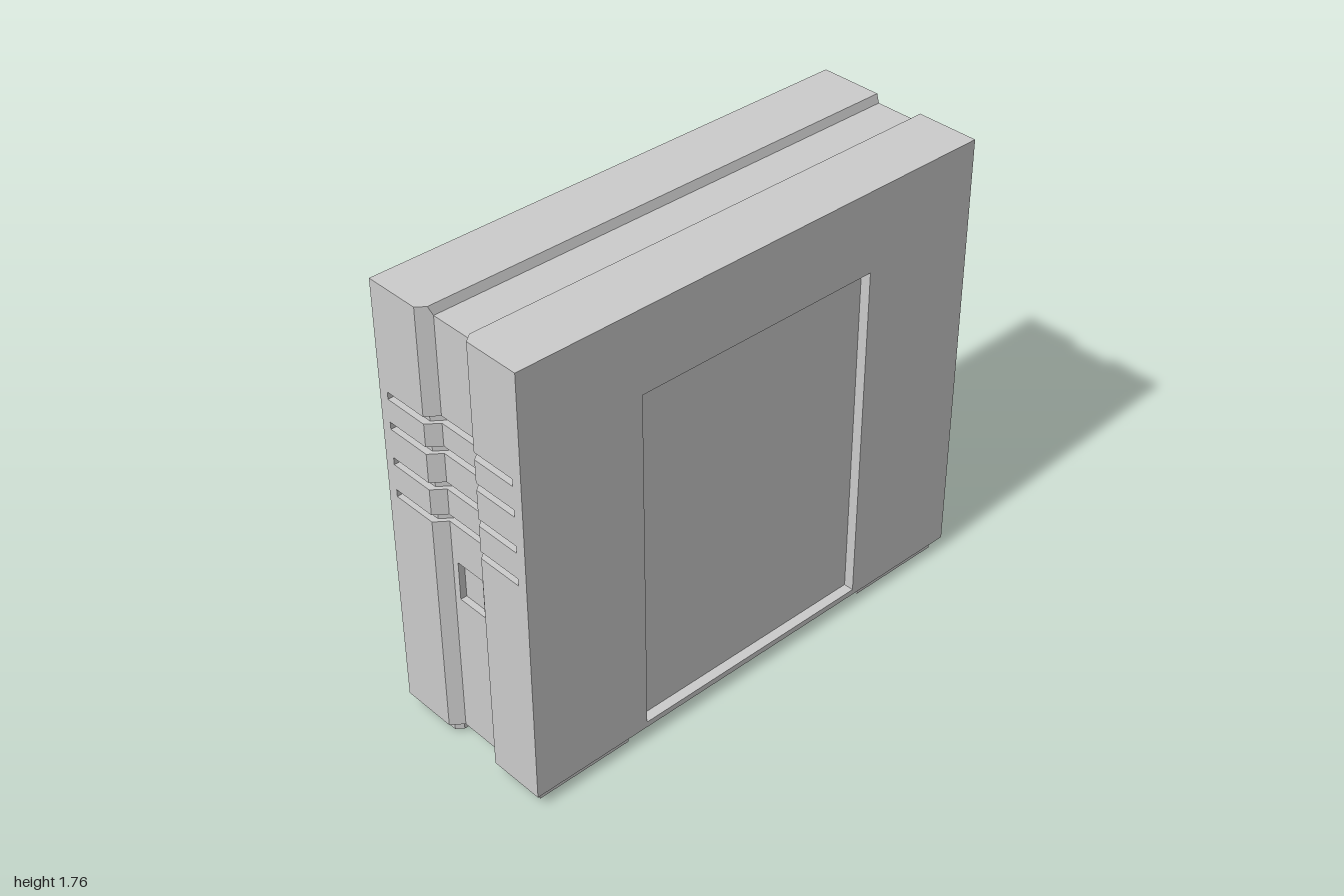
import * as THREE from 'three';

const X = 0.347, BASE = 0.05, TOP = 1.763, GROOVE = 1.73; // half width and key heights
const material = new THREE.MeshStandardMaterial({ color: 0xcccccc, flatShading: true, side: THREE.DoubleSide });

// Mesh from convex polygons, each listed counter-clockwise from outside
function polyMesh(name, polys) {
  const pos = [];
  for (const p of polys)
    for (let i = 1; i < p.length - 1; i++) pos.push(...p[0], ...p[i], ...p[i + 1]);
  const g = new THREE.BufferGeometry();
  g.setAttribute('position', new THREE.Float32BufferAttribute(pos, 3));
  g.computeVertexNormals();
  const mesh = new THREE.Mesh(g, material);
  mesh.name = name;
  return mesh;
}

const rect = (u0, u1, v0, v1) => [[u0, v0], [u1, v0], [u1, v1], [u0, v1]];

// Flat panel with a rectangular recess; place(u, v, depth) maps it into space
function recessedPanel(outer, inner, depth, place) {
  const polys = [inner.map(([u, v]) => place(u, v, depth))];
  for (let i = 0; i < 4; i++) {
    const j = (i + 1) % 4;
    const a = place(...inner[i], 0), b = place(...inner[j], 0);
    polys.push([place(...outer[i], 0), place(...outer[j], 0), b, a]);
    polys.push([a, b, place(...inner[j], depth), place(...inner[i], depth)]);
  }
  return polys;
}

// Front outline: flat sides with a chamfered channel down the middle
const breaks = [-0.125, -0.09, 0.09, 0.125];
const frontZ = x => 0.955 + 0.045 * THREE.MathUtils.clamp((Math.abs(x) - 0.09) / 0.035, 0, 1);
const pathX = (a, b) => [a, ...breaks.filter(x => x > a && x < b), b];

function strip(a, b, y0, y1, inset = 0) {
  const xs = pathX(a, b);
  return xs.slice(1).map((x1, i) => {
    const x0 = xs[i], z0 = frontZ(x0) - inset, z1 = frontZ(x1) - inset;
    return [[x0, y0, z0], [x1, y0, z1], [x1, y1, z1], [x0, y1, z0]];
  });
}

// Cut that follows the front outline: back wall, ledges and end walls
function frontCut(w, y0, y1, d) {
  const polys = [...strip(-X, -w, y0, y1), ...strip(w, X, y0, y1), ...strip(-w, w, y0, y1, d)];
  const xs = pathX(-w, w);
  for (let i = 1; i < xs.length; i++) {
    const a = xs[i - 1], b = xs[i], za = frontZ(a), zb = frontZ(b);
    polys.push([[a, y0, za], [b, y0, zb], [b, y0, zb - d], [a, y0, za - d]]);
    polys.push([[a, y1, za - d], [b, y1, zb - d], [b, y1, zb], [a, y1, za]]);
  }
  const z = frontZ(w);
  polys.push([[-w, y0, z], [-w, y0, z - d], [-w, y1, z - d], [-w, y1, z]]);
  polys.push([[w, y0, z - d], [w, y0, z], [w, y1, z], [w, y1, z - d]]);
  return polys;
}

function frontPolys() {
  // [half width, bottom, top]: button pocket, then four slots
  const cuts = [[0.063, 0.63, 0.785], [0.307, 0.942, 0.97], [0.307, 1.072, 1.1],
    [0.307, 1.213, 1.241], [0.307, 1.33, 1.358]];
  const polys = [];
  let y = BASE;
  for (const [w, y0, y1] of cuts) {
    polys.push(...strip(-X, X, y, y0), ...frontCut(w, y0, y1, 0.025));
    y = y1;
  }
  polys.push(...strip(-X, X, y, GROOVE));
  // Shoulders beside the top groove
  polys.push(...strip(-X, -0.1, GROOVE, TOP), ...strip(0.1, X, GROOVE, TOP));
  const z = frontZ(0.1);
  polys.push([[0.09, GROOVE, 0.955], [0.1, GROOVE, z], [0.1, TOP, z]]);
  polys.push([[-0.09, GROOVE, 0.955], [-0.1, TOP, z], [-0.1, GROOVE, z]]);
  return polys;
}

function topPolys() {
  const z = frontZ(0.1);
  const polys = [[[-0.09, GROOVE, 0.955], [0.09, GROOVE, 0.955], [0.09, GROOVE, -1], [-0.09, GROOVE, -1]]];
  for (const s of [1, -1]) {
    const shoulder = [[0.1, z], [0.125, 1], [X, 1], [X, -1], [0.1, -1]].map(([x, pz]) => [s * x, TOP, pz]);
    const wall = [[s * 0.09, GROOVE, 0.955], [s * 0.1, TOP, z], [s * 0.1, TOP, -1], [s * 0.09, GROOVE, -1]];
    polys.push(s > 0 ? shoulder : shoulder.reverse(), s > 0 ? wall.reverse() : wall);
  }
  return polys;
}

function backPolys() {
  const polys = recessedPanel(rect(-X, X, BASE, GROOVE), rect(-0.32, 0.32, 0.075, 1.445), 0.03,
    (u, v, d) => [-u, v, -1 + d]);
  polys.push([[-0.1, GROOVE, -1], [-X, GROOVE, -1], [-X, TOP, -1], [-0.1, TOP, -1]]);
  polys.push([[X, GROOVE, -1], [0.1, GROOVE, -1], [0.1, TOP, -1], [X, TOP, -1]]);
  polys.push([[-0.09, GROOVE, -1], [-0.1, GROOVE, -1], [-0.1, TOP, -1]]);
  polys.push([[0.1, GROOVE, -1], [0.09, GROOVE, -1], [0.1, TOP, -1]]);
  return polys;
}

// Underside, split where the front outline bends
function bottomPolys() {
  const xs = pathX(-X, X);
  return xs.slice(1).map((b, i) => [[xs[i], BASE, -1], [b, BASE, -1], [b, BASE, frontZ(b)], [xs[i], BASE, frontZ(xs[i])]]);
}

// Foot block; front feet have the inner front corner cut off
function foot(name, s, z0, z1, cut) {
  const pts = [[0.317, z0], [0.317, z1], ...(cut ? [[0.138, z1], [0.118, z1 - 0.026]] : [[0.118, z1]]), [0.118, z0]];
  const shape = new THREE.Shape(pts.map(([x, z]) => new THREE.Vector2(s * x, -z)));
  const g = new THREE.ExtrudeGeometry(shape, { depth: BASE, bevelEnabled: false });
  const mesh = new THREE.Mesh(g.rotateX(-Math.PI / 2), material);
  mesh.name = name;
  return mesh;
}

export function createModel() {
  const group = new THREE.Group();
  group.name = 'towerCase';
  const sideOuter = rect(-1, 1, BASE, TOP), sideInner = rect(-0.51, 0.51, 0.073, 1.447);
  group.add(
    polyMesh('frontPanel', frontPolys()),
    polyMesh('topPanel', topPolys()),
    polyMesh('backPanel', backPolys()),
    polyMesh('bottomPanel', bottomPolys()),
    polyMesh('leftPanel', recessedPanel(sideOuter, sideInner, 0.04, (u, v, d) => [X - d, v, -u])),
    polyMesh('rightPanel', recessedPanel(sideOuter, sideInner, 0.04, (u, v, d) => [d - X, v, u])),
  );
  for (const [side, s] of [['Left', 1], ['Right', -1]]) {
    group.add(foot('front' + side + 'Foot', s, 0.57, 0.967, true));
    group.add(foot('back' + side + 'Foot', s, -0.967, -0.57, false));
  }
  return group;
}
